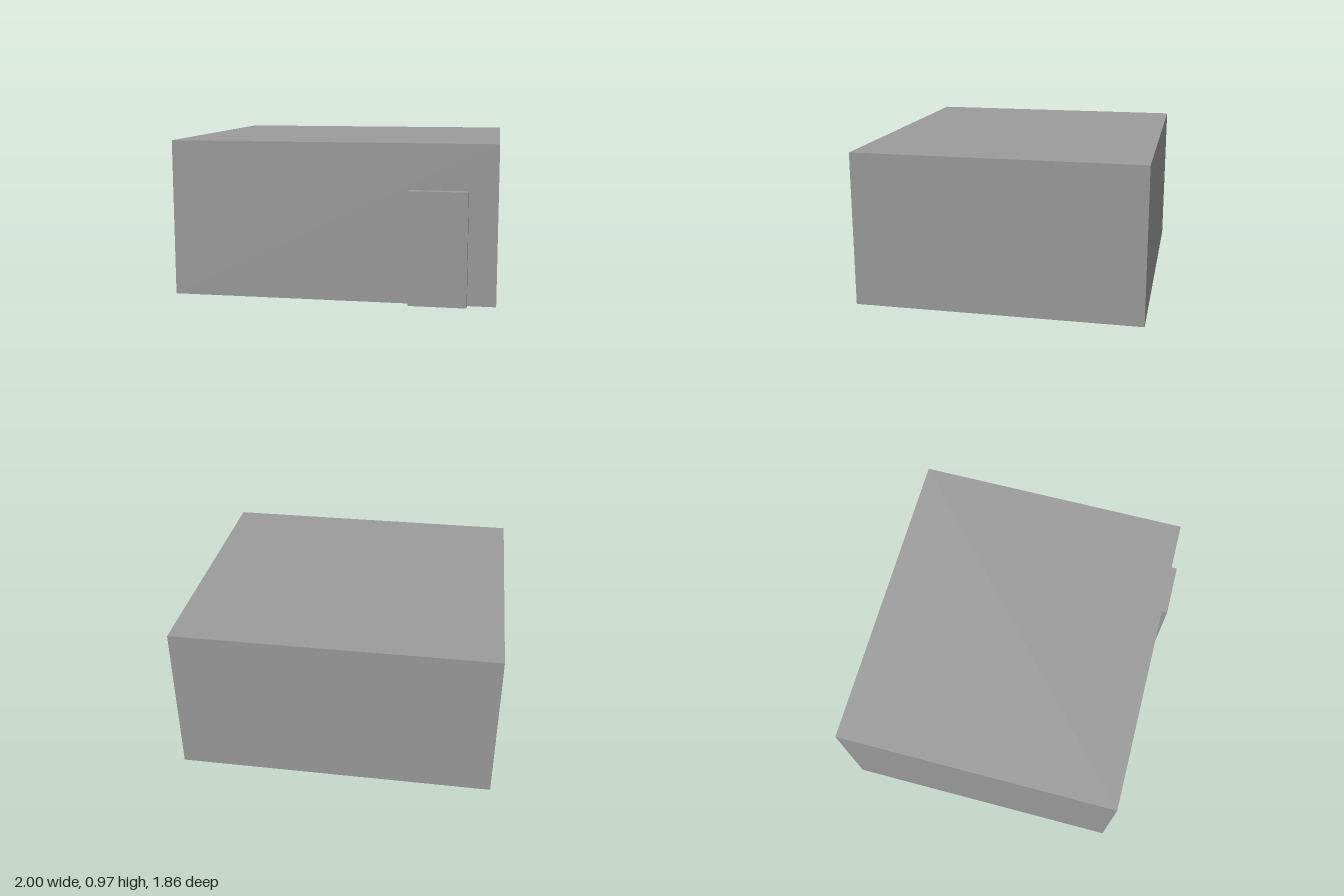
import * as THREE from 'three';

const material = new THREE.MeshStandardMaterial({ color: 0x9c9c9c });

// Box given by its lower and upper corners
function block(name, [x0, y0, z0], [x1, y1, z1]) {
  const mesh = new THREE.Mesh(new THREE.BoxGeometry(x1 - x0, y1 - y0, z1 - z0), material);
  mesh.position.set((x0 + x1) / 2, (y0 + y1) / 2, (z0 + z1) / 2);
  mesh.name = name;
  return mesh;
}

export function createModel() {
  const group = new THREE.Group();
  group.name = 'flatRoofedBuilding';
  // Main volume with a flat roof
  group.add(block('building', [-1, 0, -0.928], [1, 0.97, 0.871]));
  // Door slab standing proud of the front wall, slightly sunk into it
  group.add(block('door', [0.477, 0, 0.85], [0.827, 0.692, 0.928]));
  return group;
}
